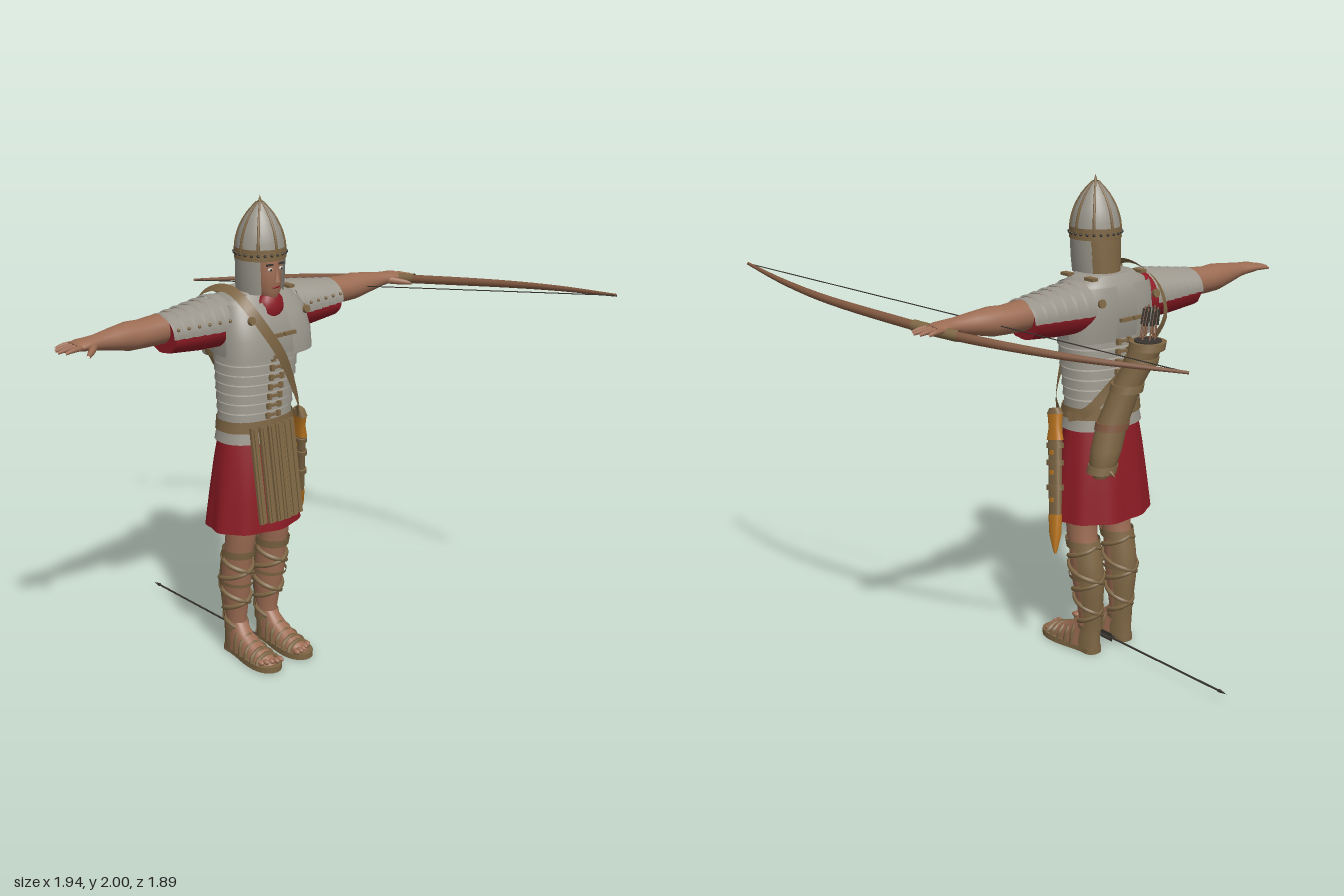
import * as THREE from 'three';
import { toCreasedNormals } from 'three/addons/utils/BufferGeometryUtils.js';

const V = (x, y, z) => new THREE.Vector3(x, y, z);
const mat = (name, color, side = THREE.FrontSide) => {
  const m = new THREE.MeshStandardMaterial({ color, side });
  m.name = name;
  return m;
};
const D = Math.PI / 180;

// crease at true scale-independent precision
function crease(g, angle = 0.7) {
  g.scale(100, 100, 100);
  const c = toCreasedNormals(g, angle);
  c.scale(0.01, 0.01, 0.01);
  return c;
}

// skin over elliptical sections [t, c1, c2, r1, r2, wave] along y (c = x, z) or x (c = y, z)
function loft(secs, { axis = 'y', n = 28, p = 2, arc = [0, 360], cap = true } = {}) {
  const closed = arc[1] - arc[0] >= 360;
  const rows = [...secs];
  if (closed && cap) {
    const a = secs[0], b = secs.at(-1);
    rows.unshift([a[0], a[1], a[2], 0, 0]);
    rows.push([b[0], b[1], b[2], 0, 0]);
  }
  const pos = [], idx = [];
  const pw = v => Math.sign(v) * Math.abs(v) ** (2 / p);
  for (const [t, c1, c2, r1, r2, w = 0] of rows) for (let k = 0; k <= n; k++) {
    const a = (arc[0] + (arc[1] - arc[0]) * k / n) * D;
    const f = 1 + w * (Math.sin(9 * a) + 0.6 * Math.sin(5 * a + 1));
    const u = c1 + r1 * f * pw(Math.cos(a)), v = r2 * f * pw(Math.sin(a));
    if (axis === 'y') pos.push(u, t, c2 + v); else pos.push(t, u, c2 - v);
  }
  const flip = secs.at(-1)[0] < secs[0][0];
  for (let i = 0; i < rows.length - 1; i++) for (let k = 0; k < n; k++) {
    const a = i * (n + 1) + k, b = a + n + 1;
    if (flip) idx.push(a, a + 1, b, a + 1, b + 1, b);
    else idx.push(a, b, a + 1, a + 1, b, b + 1);
  }
  const g = new THREE.BufferGeometry();
  g.setAttribute('position', new THREE.Float32BufferAttribute(pos, 3));
  g.setIndex(idx);
  return crease(g);
}

// tube through points, radius a function of 0..1
function tube(points, r, seg = 24, rad = 8) {
  const curve = new THREE.CatmullRomCurve3(points);
  const g = new THREE.TubeGeometry(curve, seg, 1, rad);
  const at = g.attributes.position, v = V();
  for (let i = 0; i < at.count; i++) {
    const t = Math.floor(i / (rad + 1)) / seg, c = curve.getPointAt(t);
    v.fromBufferAttribute(at, i).sub(c).multiplyScalar(typeof r === 'number' ? r : r(t)).add(c);
    at.setXYZ(i, v.x, v.y, v.z);
  }
  return g;
}

// flat strap that faces away from the body axis
function strap(points, width, seg = 50) {
  const curve = new THREE.CatmullRomCurve3(points), pos = [], idx = [];
  for (let i = 0; i <= seg; i++) {
    const q = curve.getPointAt(i / seg);
    const out = q.clone().sub(V(0, Math.min(q.y, 1.42), -0.12));
    const side = curve.getTangentAt(i / seg).cross(out).setLength(width / 2);
    pos.push(...q.clone().add(side).toArray(), ...q.clone().sub(side).toArray());
    if (i < seg) idx.push(2 * i, 2 * i + 1, 2 * i + 2, 2 * i + 1, 2 * i + 3, 2 * i + 2);
  }
  const g = new THREE.BufferGeometry();
  g.setAttribute('position', new THREE.Float32BufferAttribute(pos, 3));
  g.setIndex(idx);
  g.computeVertexNormals();
  return g;
}

export function createModel() {
  const two = THREE.DoubleSide;
  const steel = mat('steel', 0x9a968c, two), leather = mat('leather', 0x7e6644, two);
  const cloth = mat('red cloth', 0x8c1b24, two), skin = mat('skin', 0x9c6c53);
  const brass = mat('brass', 0xb8741f), wood = mat('wood', 0x7f573f);
  const dark = mat('dark', 0x38342f), white = mat('eye white', 0xcfc8bd);
  const root = new THREE.Group(), body = new THREE.Group();
  root.name = 'archer';
  body.name = 'body';
  body.position.x = -0.035;
  root.add(body);
  const add = (name, g, m, p = [0, 0, 0], parent = body) => {
    const o = new THREE.Mesh(g, m);
    o.name = name;
    o.position.set(...p);
    parent.add(o);
    return o;
  };
  const box = (name, w, h, d, m, p, parent) => add(name, new THREE.BoxGeometry(w, h, d), m, p, parent);
  const ball = (name, r, s, m, p) => add(name, new THREE.SphereGeometry(r, 16, 12).scale(...s), m, p);

  // head and face
  add('head', loft([[1.6, 0, -0.02, 0.03, 0.03], [1.63, 0, -0.045, 0.055, 0.066], [1.7, 0, -0.07, 0.07, 0.09],
    [1.78, 0, -0.08, 0.082, 0.092]]), skin);
  add('neck', loft([[1.5, 0, -0.11, 0.075, 0.075], [1.58, 0, -0.1, 0.06, 0.062], [1.68, 0, -0.085, 0.055, 0.06]]), skin);
  add('nose', new THREE.ConeGeometry(0.014, 0.055, 8), skin, [0, 1.695, 0.024]);
  ball('lips', 0.022, [1, 0.25, 0.4], cloth, [0, 1.645, 0.014]);
  for (const s of [-1, 1]) {
    ball('eye', 0.012, [1, 0.55, 0.5], white, [s * 0.028, 1.718, 0.013]);
    ball('pupil', 0.005, [1, 1, 0.6], dark, [s * 0.028, 1.718, 0.018]);
    box('brow', 0.032, 0.007, 0.008, dark, [s * 0.03, 1.737, 0.012]);
  }

  // helmet
  const dome = [[0.1, 1.77], [0.096, 1.82], [0.082, 1.87], [0.056, 1.92], [0.028, 1.955], [0.012, 1.972]];
  add('helmetDome', new THREE.LatheGeometry(dome.map(q => new THREE.Vector2(...q)), 32), steel, [0, 0, -0.08]);
  add('helmetSpike', new THREE.ConeGeometry(0.012, 0.04, 10), leather, [0, 1.98, -0.08]);
  add('helmetBand', loft([[1.752, 0, -0.08, 0.104, 0.106], [1.798, 0, -0.08, 0.103, 0.105]], { cap: false }), leather);
  for (let i = 0; i < 8; i++) {
    const a = i * 45 * D;
    const pts = dome.map(([r, y]) => V(Math.sin(a) * r, y, Math.cos(a) * r - 0.08));
    add('helmetRib', tube(pts, t => 0.007 - 0.003 * t, 14, 6), leather);
    for (const da of [-15, 0, 15])
      ball('helmetRivet', 0.006, [1, 1, 1], dark, [Math.sin(a + da * D) * 0.105, 1.775, Math.cos(a + da * D) * 0.106 - 0.08]);
  }
  const guard = (name, arc, m, low) => add(name, loft([[low, 0, -0.085, 0.088, 0.106], [1.68, 0, -0.082, 0.096, 0.106],
    [1.76, 0, -0.08, 0.1, 0.103]], { arc, n: 14 }), m);
  guard('leftCheekGuard', [-38, 49], steel, 1.615);
  guard('rightCheekGuard', [131, 218], steel, 1.615);
  guard('neckGuard', [217, 323], leather, 1.6);

  // banded waist armour and belt
  const bands = [];
  for (let i = 0; i < 7; i++) {
    const y = 1.085 + i * 0.042, t = i / 7;
    for (const [dy, e] of [[0, 0.007], [0.034, 0.004], [0.041, -0.006]])
      bands.push([y + dy, 0, -0.12 + 0.012 * t, 0.162 + 0.02 * t + e, 0.108 + 0.026 * t + e]);
  }
  add('waistBands', loft(bands, { n: 36, p: 2.3 }), steel);
  add('lowerBand', loft([[0.995, 0, -0.12, 0.182, 0.125], [1.05, 0, -0.12, 0.172, 0.115]], { cap: false, p: 2.3 }), steel);
  add('belt', loft([[1.042, 0, -0.12, 0.179, 0.122], [1.09, 0, -0.12, 0.174, 0.119]], { cap: false, p: 2.3 }), leather);
  for (let i = 0; i < 7; i++) for (const f of [0, 1]) {
    const y = 1.107 + i * 0.042, z = f ? -0.238 - 0.002 * i : -0.004 + 0.0055 * i;
    box('lacing', 0.075, 0.01, 0.014, leather, [0, y, z]);
    for (const s of [-1, 1]) box('lacingLoop', 0.016, 0.024, 0.016, leather, [s * 0.028, y, z]);
  }

  // chest and shoulders
  add('chest', loft([[1.37, 0, -0.105, 0.19, 0.14], [1.45, 0, -0.11, 0.2, 0.152], [1.54, 0, -0.125, 0.195, 0.135],
    [1.59, 0, -0.13, 0.175, 0.112], [1.622, 0, -0.13, 0.12, 0.085]], { n: 40, p: 2.8 }), steel);
  add('collar', loft([[1.57, 0, -0.105, 0.095, 0.105], [1.605, 0, -0.1, 0.075, 0.08], [1.635, 0, -0.1, 0.065, 0.067]]), cloth);
  ball('neckOpening', 0.065, [1, 1, 0.62], cloth, [0, 1.56, -0.02]);
  const plate = [[1.368, 0, -0.1, 0.222, 0.163], [1.45, 0, -0.107, 0.218, 0.165], [1.53, 0, -0.12, 0.205, 0.15],
    [1.585, 0, -0.13, 0.185, 0.126]];
  for (const [name, a, b] of [['leftChestPlate', 14, 84], ['rightChestPlate', 96, 166], ['rightBackPlate', 194, 264], ['leftBackPlate', 276, 346]])
    add(name, loft(plate, { arc: [a, b], n: 18, p: 3.2 }), steel);
  for (const s of [-1, 1]) {
    for (const [z, tilt] of [[0.034, -1], [-0.276, 1]]) {
      const r = add('rosette', new THREE.CylinderGeometry(0.016, 0.018, 0.012, 12), leather, [s * 0.145, 1.535, z - tilt * 0.004]);
      r.rotation.x = Math.PI / 2 + tilt * 0.2;
      box('chestBuckle', 0.06, 0.014, 0.014, leather, [s * 0.035, 1.46, z - tilt * 0.025]);
    }
    for (const z of [-0.2, -0.06]) box('shoulderHinge', 0.03, 0.012, 0.05, leather, [s * 0.13, 1.617, z]);
    for (let i = 0; i < 6; i++) {
      const x = 0.165 + i * 0.047, k = i / 5;
      const sec = (dx, e) => [s * (x + dx), 1.5, -0.155, 0.112 - 0.034 * k + e, 0.122 - 0.026 * k + e];
      add('shoulderBand', loft([sec(0, 0), sec(0.044, 0.003), sec(0.051, -0.004)], { axis: 'x', arc: [-95, 95], n: 20 }), steel);
      ball('shoulderRivet', 0.007, [1, 1, 1], leather, [s * (x + 0.03), 1.53, -0.155 + 0.12 - 0.028 * k]);
    }

    // sleeve, arm and hand
    add('sleeve', loft([[s * 0.15, 1.5, -0.15, 0.1, 0.105], [s * 0.3, 1.495, -0.152, 0.088, 0.102, 0.01],
      [s * 0.44, 1.495, -0.155, 0.074, 0.092, 0.02]], { axis: 'x' }), cloth);
    add('arm', loft([[0.38, 1.52, -0.16, 0.058, 0.062], [0.46, 1.518, -0.165, 0.06, 0.064], [0.54, 1.515, -0.165, 0.056, 0.06],
      [0.6, 1.518, -0.163, 0.057, 0.058], [0.68, 1.522, -0.158, 0.044, 0.048], [0.755, 1.525, -0.152, 0.031, 0.036],
      [0.79, 1.527, -0.15, 0.026, 0.042], [0.83, 1.528, -0.152, 0.022, 0.047], [0.855, 1.526, -0.154, 0.015, 0.044]]
      .map(([x, ...r]) => [s * x, ...r]), { axis: 'x', n: 20 }), skin);
    for (let i = 0; i < 4; i++) {
      const z = -0.188 + i * 0.023, len = [0.055, 0.076, 0.083, 0.068][i];
      add('finger', tube([V(s * 0.835, 1.528, z), V(s * (0.85 + len / 2), 1.526, z * 1.2 + 0.03), V(s * (0.85 + len), 1.52, z * 1.25 + 0.038)],
        t => 0.0115 - 0.006 * t * t, 10), skin);
    }
    add('thumb', tube([V(s * 0.775, 1.522, -0.13), V(s * 0.815, 1.515, -0.09), V(s * 0.855, 1.508, -0.055)], t => 0.016 - 0.009 * t * t, 10), skin);
  }

  // tunic skirt and hanging strips
  add('skirt', loft([[0.61, 0, -0.125, 0.222, 0.168, 0.026], [0.75, 0, -0.122, 0.208, 0.155, 0.018],
    [0.9, 0, -0.12, 0.19, 0.138, 0.008], [1.04, 0, -0.12, 0.168, 0.112]], { n: 72, cap: false }), cloth);
  for (let i = 0; i < 6; i++) {
    const x = (i - 2.5) * 0.0395, z = 0.036 - 1.8 * x * x;
    const g = new THREE.Group();
    g.name = 'apronStrip';
    g.position.set(x, 0.865, z);
    g.rotation.x = -0.15;
    body.add(g);
    box('strip', 0.034, 0.41, 0.014, leather, [0, 0, 0], g);
    for (let k = 0; k < 7; k++) ball('stripStud', 0.006, [1, 1, 0.6], leather, [0, 0.17 - k * 0.058, 0.008]).removeFromParent();
    box('stripRidge', 0.014, 0.4, 0.008, leather, [0, 0, 0.009], g);
  }

  // legs, bindings and sandals
  for (const s of [-1, 1]) {
    const leg = [[0.05, 0.085, -0.145, 0.038, 0.048], [0.12, 0.086, -0.15, 0.038, 0.047], [0.25, 0.09, -0.145, 0.05, 0.062],
      [0.36, 0.095, -0.138, 0.061, 0.076], [0.45, 0.096, -0.125, 0.058, 0.066], [0.52, 0.095, -0.11, 0.062, 0.066],
      [0.62, 0.09, -0.1, 0.066, 0.07], [0.8, 0.088, -0.11, 0.082, 0.085]].map(([y, x, ...r]) => [y, s * x, ...r]);
    add('leg', loft(leg), skin);
    const at = y => {
      const i = Math.max(0, leg.findIndex(q => q[0] > y) - 1), a = leg[i], b = leg[i + 1];
      return a.map((v, k) => v + (b[k] - v) * (y - a[0]) / (b[0] - a[0]));
    };
    const around = (y, e) => { const [, x, z, r1, r2] = at(y); return [y, x, z, r1 + e, r2 + e]; };
    add('calfGuard', loft([0.1, 0.18, 0.26, 0.34, 0.42, 0.47].map(y => around(y, 0.008)), { arc: [195, 345], n: 16 }), leather);
    for (const [y, h] of [[0.47, 0.035], [0.105, 0.02], [0.335, 0.016]])
      add('legBand', loft([around(y, 0.01), around(y + h, 0.01)], { cap: false }), leather);
    for (const d of [-1, 1]) {
      const pts = [];
      for (let k = 0; k <= 48; k++) {
        const [y, x, z, r1, r2] = around(0.11 + 0.37 * k / 48, 0.003), a = Math.PI / 2 + d * k / 48 * Math.PI * 5;
        pts.push(V(x + r1 * Math.cos(a), y, z + r2 * Math.sin(a)));
      }
      add('legBinding', tube(pts, 0.011, 110, 6), leather);
    }
    const foot = new THREE.Group();
    foot.name = 'foot';
    foot.position.x = s * 0.09;
    body.add(foot);
    const sole = new THREE.Shape();
    sole.moveTo(-0.04, 0.17);
    sole.bezierCurveTo(-0.04, 0.215, 0.04, 0.215, 0.04, 0.17);
    sole.bezierCurveTo(0.04, 0.08, 0.068, 0.05, 0.066, -0.04);
    sole.bezierCurveTo(0.06, -0.155, -0.06, -0.155, -0.064, -0.04);
    sole.bezierCurveTo(-0.066, 0.05, -0.04, 0.08, -0.04, 0.17);
    add('sole', new THREE.ExtrudeGeometry(sole, { depth: 0.026, bevelEnabled: false }).rotateX(-Math.PI / 2), leather, [0, 0, 0], foot);
    add('instep', loft([[0.024, 0, -0.045, 0.054, 0.15], [0.05, 0, -0.058, 0.052, 0.135], [0.075, 0, -0.088, 0.045, 0.1],
      [0.11, 0, -0.125, 0.04, 0.065], [0.15, -s * 0.004, -0.148, 0.037, 0.048]], { p: 2.4 }), skin, [0, 0, 0], foot);
    for (let i = 0; i < 5; i++) add('toe', new THREE.SphereGeometry(0.0125, 10, 8).scale(1, 1, 1.6), skin,
      [s * (i - 2) * 0.0215, 0.036, 0.093 - 0.009 * Math.max(0, i - 1)], foot);
    add('heelCup', loft([[0.02, 0, -0.13, 0.047, 0.074], [0.075, 0, -0.14, 0.046, 0.062], [0.12, 0, -0.15, 0.043, 0.053]],
      { arc: [175, 365], n: 16 }), leather, [0, 0, 0], foot);
    for (const [z, h, w] of [[0.06, 0.052, 0.056], [0.025, 0.064, 0.058], [-0.015, 0.08, 0.056], [-0.055, 0.1, 0.052], [-0.09, 0.125, 0.048]])
      add('sandalStrap', tube([V(-w, 0.022, z), V(-w * 0.85, h * 0.7, z - 0.005), V(0, h + 0.004, z - 0.008), V(w * 0.85, h * 0.7, z - 0.005),
        V(w, 0.022, z)], 0.011, 16, 6), leather, [0, 0, 0], foot);
  }

  // shoulder strap and quiver
  add('shoulderStrap', strap([V(0.178, 1.06, -0.06), V(0.15, 1.1, -0.01), V(0.06, 1.25, 0.045), V(-0.03, 1.39, 0.078), V(-0.1, 1.5, 0.06),
    V(-0.145, 1.59, 0.01), V(-0.15, 1.635, -0.07), V(-0.148, 1.632, -0.18), V(-0.143, 1.57, -0.3), V(-0.12, 1.46, -0.36), V(-0.05, 1.34, -0.33),
    V(0.06, 1.2, -0.265), V(0.15, 1.08, -0.2), V(0.183, 1.05, -0.12)], 0.042), leather);
  const q = [[0.84, 0.17, -0.305, 0.03, 0.03], [0.88, 0.158, -0.302, 0.055, 0.054], [0.95, 0.135, -0.3, 0.065, 0.06],
    [1.05, 0.105, -0.3, 0.066, 0.06], [1.2, 0.05, -0.325, 0.06, 0.058], [1.31, 0.01, -0.362, 0.06, 0.062], [1.37, -0.01, -0.375, 0.066, 0.068]];
  add('quiver', loft(q), leather);
  for (const [i, e] of [[1, 0.006], [3, 0.005], [4, 0.008], [5, 0.008], [6, 0.006]]) {
    const [y, x, z, r1, r2] = q[i];
    add('quiverRing', loft([[y - 0.02, x + 0.004, z, r1 + e, r2 + e], [y + 0.01, x - 0.004, z, r1 + e, r2 + e]]), i === 3 ? wood : leather);
  }
  add('quiverMouth', new THREE.CylinderGeometry(0.055, 0.055, 0.006, 20), dark, [-0.012, 1.381, -0.375]);
  add('quiverFlap', new THREE.ConeGeometry(0.035, 0.1, 8).rotateX(-1.9), leather, [0.165, 0.875, -0.34]);
  for (let i = 0; i < 6; i++) {
    const a = i * 60 * D, g = new THREE.Group();
    g.name = 'quiverArrow';
    g.position.set(-0.015 + 0.03 * Math.cos(a), 1.36, -0.365 + 0.03 * Math.sin(a));
    g.rotation.set(0.22, 0, 0.38 + 0.08 * Math.cos(a));
    body.add(g);
    add('shaft', new THREE.CylinderGeometry(0.004, 0.004, 0.17, 6), wood, [0, 0.07, 0], g);
    box('fletching', 0.024, 0.06, 0.003, dark, [0, 0.115, 0], g);
    box('fletching', 0.003, 0.06, 0.024, dark, [0, 0.115, 0], g);
  }

  // sheathed sword on the left hip
  const sword = new THREE.Group();
  sword.name = 'sword';
  sword.position.set(0.195, 1.065, -0.058);
  sword.quaternion.setFromUnitVectors(V(0, -1, 0), V(0.115, -0.555, -0.132).normalize());
  body.add(sword);
  const part = (name, secs, m) => add(name, loft(secs.map(([y, w, d]) => [-y, 0, 0, d, w]), { p: 3, n: 20 }), m, [0, 0, 0], sword);
  part('pommel', [[-0.01, 0.025, 0.018], [0.015, 0.04, 0.022]], leather);
  part('hilt', [[0.015, 0.036, 0.02], [0.07, 0.03, 0.018], [0.12, 0.04, 0.022]], brass);
  part('scabbard', [[0.12, 0.034, 0.018], [0.44, 0.03, 0.016]], leather);
  part('scabbardTip', [[0.42, 0.032, 0.018], [0.5, 0.026, 0.018], [0.56, 0.008, 0.01], [0.577, 0.004, 0.004]], brass);
  for (const y of [0.13, 0.2, 0.3]) part('scabbardBand', [[y, 0.04, 0.023], [y + 0.022, 0.04, 0.023]], leather);
  for (const y of [0.17, 0.25, 0.36]) box('scabbardStud', 0.044, 0.018, 0.018, brass, [0, -y, 0], sword);

  // bow across the left hand
  const tips = [V(0.31, 1.44, -0.95), V(0.95, 1.62, 0.935)];
  const bow = [tips[0], V(0.56, 1.472, -0.625), V(0.775, 1.51, -0.215), V(0.857, 1.535, 0.055), V(0.935, 1.567, 0.39), V(0.958, 1.593, 0.65), tips[1]];
  add('bow', tube(bow, t => 0.006 + 0.013 * Math.sin(Math.PI * t), 60, 10), wood, [0, 0, 0], root);
  add('bowGrip', tube([V(0.765, 1.509, -0.235), V(0.8, 1.518, -0.145), V(0.832, 1.527, -0.05)], 0.022, 12, 12), leather, [0, 0, 0], root);
  add('bowString', tube([tips[0], tips[0].clone().lerp(tips[1], 0.5), tips[1]], 0.0022, 4, 5), dark, [0, 0, 0], root);

  // loose arrow behind the feet
  add('arrowShaft', tube([V(0, 0.042, -0.12), V(0, 0.042, -0.5), V(0, 0.042, -0.83)], 0.0045, 4, 6), dark);
  add('arrowHead', new THREE.ConeGeometry(0.008, 0.04, 6).rotateX(-Math.PI / 2), dark, [0, 0.042, -0.84]);
  box('arrowFletching', 0.036, 0.003, 0.07, dark, [0, 0.042, -0.16]);
  box('arrowFletching', 0.003, 0.036, 0.07, dark, [0, 0.042, -0.16]);
  return root;
}
